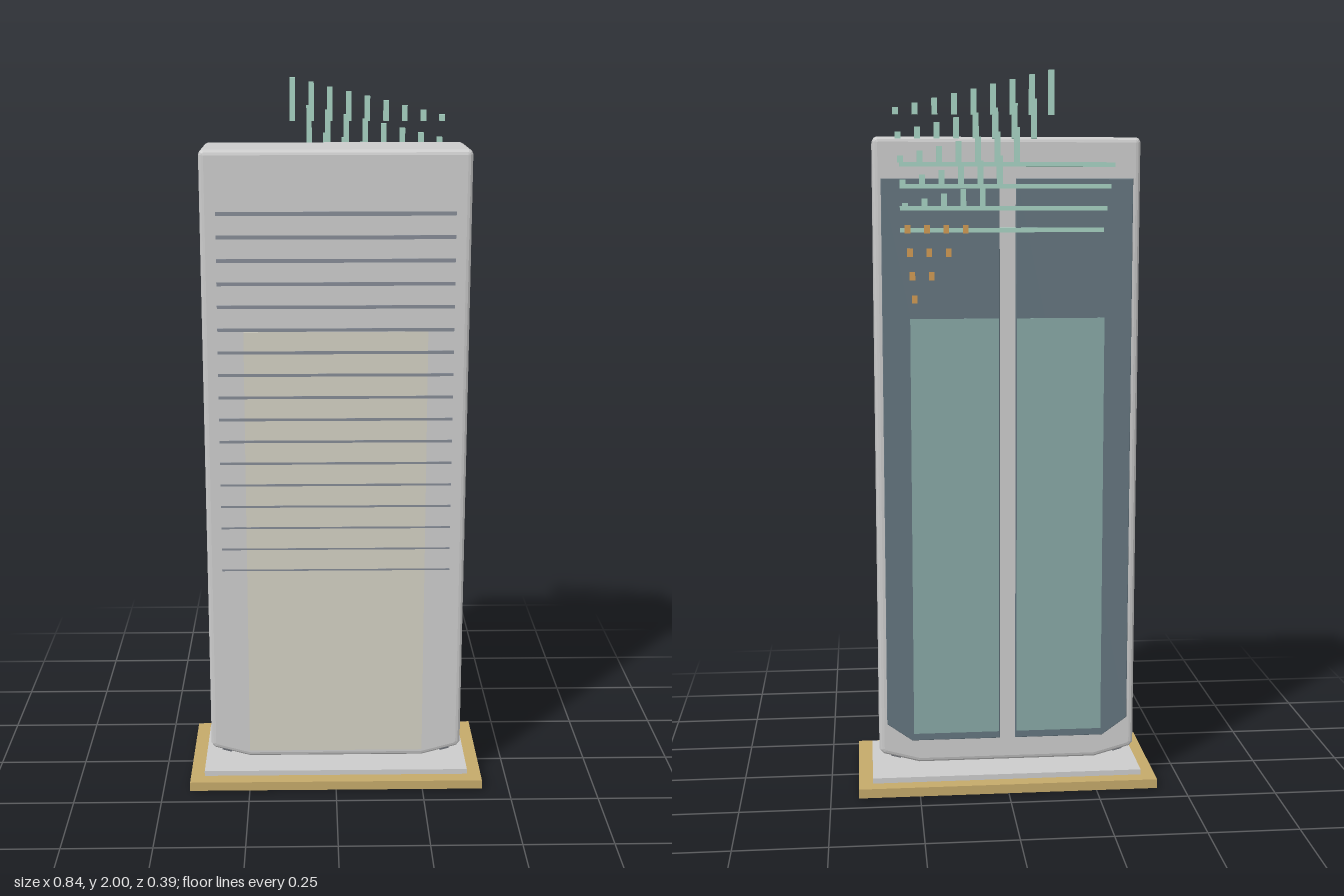
import * as THREE from 'three';

const paint = (color) => new THREE.MeshStandardMaterial({ color });
const GREY = paint(0xcccccc), GOLD = paint(0xc4a96a), SLATE = paint(0x64757f);
const TEAL = paint(0xa6d2c2), GLASS = paint(0x87a8a5), BEIGE = paint(0xd2cfc2);
const ORANGE = paint(0xd09a52), DARK = paint(0x6c7077), LINE = paint(0x858b95);

// Prism cut from an x-y outline, bevelled inside its outline, spanning z0..z1
function slab(name, points, z0, z1, bevel, mat) {
  const shape = new THREE.Shape(points.map(([x, y]) => new THREE.Vector2(x, y)));
  const geo = new THREE.ExtrudeGeometry(shape, {
    depth: z1 - z0 - 2 * bevel, bevelEnabled: bevel > 0, bevelSize: bevel,
    bevelThickness: bevel, bevelOffset: -bevel, bevelSegments: 3,
  });
  geo.translate(0, 0, z0 + bevel);
  const mesh = new THREE.Mesh(geo, mat);
  mesh.name = name;
  return mesh;
}

// Box given by its limits on each axis
function box(name, x0, x1, y0, y1, z0, z1, mat) {
  const mesh = new THREE.Mesh(new THREE.BoxGeometry(x1 - x0, y1 - y0, z1 - z0), mat);
  mesh.position.set((x0 + x1) / 2, (y0 + y1) / 2, (z0 + z1) / 2);
  mesh.name = name;
  return mesh;
}

export function createModel() {
  const model = new THREE.Group();
  model.name = 'monolithTower';

  // Stepped base floating below the tower
  model.add(
    box('baseUnderside', -0.385, 0.385, 0, 0.006, -0.155, 0.155, DARK),
    box('basePlinth', -0.422, 0.422, 0.004, 0.03, -0.193, 0.193, GOLD),
    box('baseTopPlate', -0.382, 0.382, 0.03, 0.045, -0.152, 0.152, GREY),
  );

  // Tower body with clipped lower corners and softened edges
  const r = 0.012, w = 0.362, top = 1.825;
  model.add(slab('towerBody', [
    [-0.25, 0.08], [0.25, 0.08], [w - 0.01, 0.108], [w, 0.12],
    [w, top - r], [w - r / 3, top - r / 3], [w - r, top],
    [-w + r, top], [-w + r / 3, top - r / 3], [-w, top - r],
    [-w, 0.12], [-w + 0.01, 0.108],
  ], -0.134, 0.132, 0.014, GREY));

  // Front inlay and horizontal grooves
  model.add(box('frontInlay', -0.25, 0.25, 0.1, 1.34, 0.128, 0.1328, BEIGE));
  const grooves = new THREE.Group();
  grooves.name = 'frontGrooves';
  for (let i = 0; i < 17; i++) {
    const y = 1.658 - i * 0.0625, h = 0.0055 - i * 0.0002;
    grooves.add(box('groove', -0.32, 0.32, y - h, y + h, 0.128, 0.1332, LINE));
  }
  model.add(grooves);

  // Mirrored back panels, their glass inlays and the small lower tabs
  for (const s of [-1, 1]) {
    const side = s > 0 ? 'left' : 'right';
    const outline = [[0.022, 0.15], [0.27, 0.15], [0.34, 0.2], [0.34, 1.715], [0.022, 1.715]];
    const points = outline.map(([x, y]) => [x * s, y]);
    model.add(slab(side + 'BackPanel', points, -0.144, -0.13, 0.002, SLATE));
    const [a, b] = s > 0 ? [0.025, 0.265] : [-0.265, -0.025];
    model.add(box(side + 'GlassInlay', a, b, 0.17, 1.34, -0.1447, -0.14, GLASS));
    const tab = box(side + 'LowerTab', -0.014, 0.014, -0.006, 0.006, -0.128, 0.128, DARK);
    tab.position.set(s * 0.315, 0.104, 0);
    tab.rotation.z = s * 0.27;
    model.add(tab);
  }

  // Long horizontal rails across the top of the back
  const rails = new THREE.Group();
  rails.name = 'backRails';
  for (let i = 0; i < 4; i++) {
    const y = 1.752 - i * 0.058;
    rails.add(box('rail', -0.29 + i * 0.01, 0.29, y - 0.006, y + 0.006, -0.148, -0.133, TEAL));
  }
  model.add(rails);

  // Triangular field of upright pins, taller toward one side
  const pins = new THREE.Group();
  pins.name = 'pinField';
  for (let row = 0; row < 9; row++) {
    for (let col = 0; col < 9 - row; col++) {
      const low = row > 4;
      const x = 0.3 - col * 0.052 - row * 0.006;
      const y = 1.882 - row * 0.0625;
      const h = low ? 0.022 : 0.018 + col * 0.0125;
      pins.add(box(low ? 'amberPin' : 'pin', x - 0.0075, x + 0.0075, y, y + h, -0.149, -0.133, low ? ORANGE : TEAL));
    }
  }
  model.add(pins);
  return model;
}
